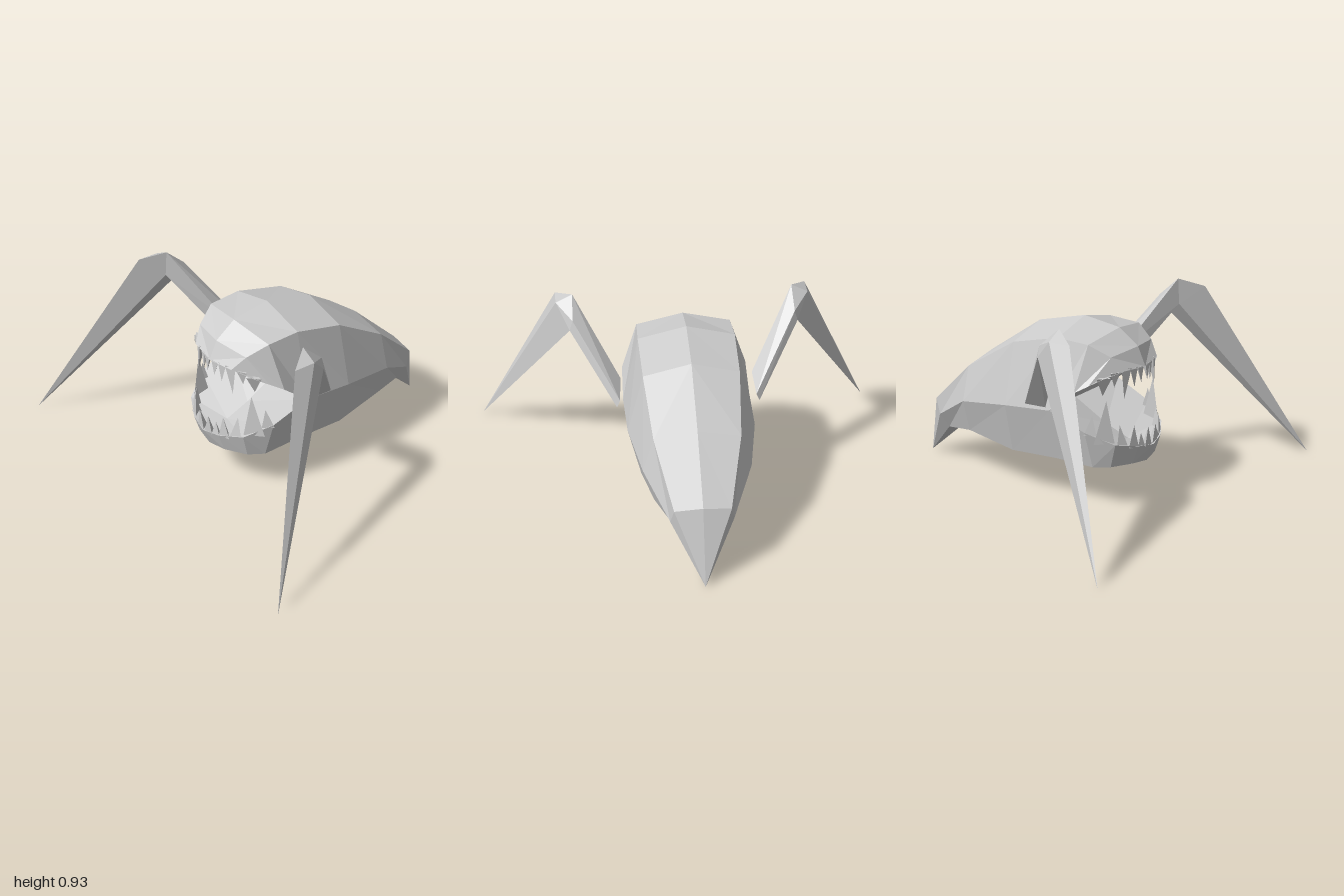
import * as THREE from 'three';
import { ConvexGeometry } from 'three/addons/geometries/ConvexGeometry.js';

const material = new THREE.MeshStandardMaterial({ color: 0xcccccc, flatShading: true, side: THREE.DoubleSide });

const part = (name, geometry) => {
  const mesh = new THREE.Mesh(geometry, material);
  mesh.name = name;
  return mesh;
};

// Skin over half cross-sections (centre line outwards), mirrored across x = 0
function skin(rows) {
  const pos = [];
  for (const s of [1, -1]) {
    const tri = (a, b, c) => (s > 0 ? [a, b, c] : [a, c, b]).forEach(p => pos.push(s * p[0], p[1], p[2]));
    for (let i = 0; i < rows.length - 1; i++) {
      for (let j = 0; j < rows[i].length - 1; j++) {
        const a = rows[i][j], b = rows[i][j + 1], c = rows[i + 1][j + 1], d = rows[i + 1][j];
        tri(a, b, c);
        tri(a, c, d);
      }
    }
  }
  const g = new THREE.BufferGeometry();
  g.setAttribute('position', new THREE.Float32BufferAttribute(pos, 3));
  g.computeVertexNormals();
  return g;
}

const hull = (points, s = 1) => new ConvexGeometry(points.map(([x, y, z]) => new THREE.Vector3(s * x, y, z)));

// Three-sided tooth whose base lies along the lip
function tooth([bx, by, bz, tx, ty, tz, w], s) {
  const inward = new THREE.Vector2(-bx, 0.1 - bz).normalize();
  const [ix, iz] = [inward.x, inward.y];
  return hull([
    [bx - iz * w, by, bz + ix * w], [bx + iz * w, by, bz - ix * w],
    [bx + ix * w * 1.3, by, bz + iz * w * 1.3], [tx, ty, tz],
  ], s);
}

export function createModel() {
  const model = new THREE.Group();
  model.name = 'creature';

  // Body: top, shoulder, flank, lower edge, belly; tapering to a hooked tail
  const tip = [0, 0, -0.81];
  model.add(part('body', skin([
    [[0, 0.84, 0.1], [0.23, 0.785, 0.1], [0.305, 0.455, 0.1], [0.245, 0.205, 0.1], [0, 0.145, 0.1]],
    [[0, 0.78, -0.15], [0.225, 0.725, -0.15], [0.3, 0.435, -0.15], [0.24, 0.195, -0.15], [0, 0.135, -0.15]],
    [[0, 0.59, -0.43], [0.2, 0.555, -0.43], [0.25, 0.39, -0.43], [0.2, 0.23, -0.43], [0, 0.19, -0.43]],
    [[0, 0.345, -0.69], [0.13, 0.33, -0.68], [0.145, 0.255, -0.65], [0.11, 0.185, -0.62], [0, 0.17, -0.62]],
    [tip, tip, tip, tip, tip],
  ])));

  // Upper head: palate from the throat to the lip, then over the brow
  model.add(part('upperHead', skin([
    [[0, 0.43, 0.05], [0.15, 0.4425, 0.075], [0.305, 0.455, 0.1]],
    [[0, 0.6, 0.2], [0.15, 0.59, 0.2], [0.3, 0.56, 0.23]],
    [[0, 0.645, 0.43], [0.14, 0.655, 0.41], [0.24, 0.63, 0.35]],
    [[0, 0.735, 0.39], [0.18, 0.72, 0.355], [0.27, 0.595, 0.29]],
    [[0, 0.81, 0.29], [0.225, 0.775, 0.26], [0.3, 0.56, 0.23]],
    [[0, 0.84, 0.1], [0.23, 0.785, 0.1], [0.305, 0.455, 0.1]],
  ])));

  // Lower jaw: mouth floor, lip, chin edge, underside
  model.add(part('lowerJaw', skin([
    [[0, 0.275, 0.48], [0, 0.275, 0.48], [0, 0.19, 0.445], [0, 0.15, 0.355]],
    [[0, 0.27, 0.42], [0.1, 0.29, 0.46], [0.1, 0.2, 0.43], [0, 0.15, 0.35]],
    [[0, 0.28, 0.34], [0.21, 0.315, 0.4], [0.2, 0.2, 0.37], [0, 0.15, 0.33]],
    [[0, 0.33, 0.22], [0.285, 0.375, 0.28], [0.245, 0.2, 0.3], [0, 0.148, 0.3]],
    [[0, 0.43, 0.05], [0.305, 0.455, 0.1], [0.245, 0.205, 0.1], [0, 0.145, 0.1]],
  ])));

  // Teeth: base, tip, half width
  const upperTeeth = [
    [0.03, 0.65, 0.425, 0.027, 0.575, 0.425, 0.022],
    [0.075, 0.655, 0.415, 0.07, 0.56, 0.415, 0.024],
    [0.125, 0.66, 0.405, 0.135, 0.52, 0.4, 0.028],
    [0.18, 0.65, 0.38, 0.175, 0.58, 0.37, 0.025],
    [0.23, 0.63, 0.35, 0.21, 0.54, 0.33, 0.035],
  ];
  const lowerTeeth = [
    [0.03, 0.275, 0.47, 0.033, 0.37, 0.47, 0.026],
    [0.075, 0.28, 0.46, 0.065, 0.345, 0.45, 0.024],
    [0.12, 0.285, 0.445, 0.11, 0.39, 0.44, 0.03],
    [0.17, 0.295, 0.415, 0.165, 0.4, 0.395, 0.03],
    [0.235, 0.32, 0.355, 0.21, 0.52, 0.35, 0.05],
    [0.27, 0.36, 0.3, 0.25, 0.45, 0.3, 0.03],
  ];

  // Legs: knee corners shared by the thigh and the pointed shin
  const kTop = [0.525, 0.93, 0.3], kBack = [0.53, 0.84, 0.2], kInBack = [0.545, 0.79, 0.2];
  const kInFront = [0.54, 0.8, 0.3], kOutFront = [0.605, 0.89, 0.405], kOutBack = [0.605, 0.89, 0.3];
  const hip = [[0.315, 0.575, 0.1], [0.325, 0.515, -0.01], [0.34, 0.48, -0.01], [0.335, 0.48, 0.1]];

  for (const [side, s] of [['left', 1], ['right', -1]]) {
    upperTeeth.forEach(t => model.add(part(side + 'UpperTooth', tooth(t, s))));
    lowerTeeth.forEach(t => model.add(part(side + 'LowerTooth', tooth(t, s))));

    const leg = new THREE.Group();
    leg.name = side + 'Leg';
    leg.add(
      part('thigh', hull([kTop, kBack, kInBack, kInFront, ...hip], s)),
      part('knee', hull([kTop, kBack, kInBack, kInFront, kOutFront, kOutBack], s)),
      part('shin', hull([kOutFront, kOutBack, kInBack, kInFront, [1, 0, 0.8]], s)),
    );
    model.add(leg);
  }
  return model;
}
